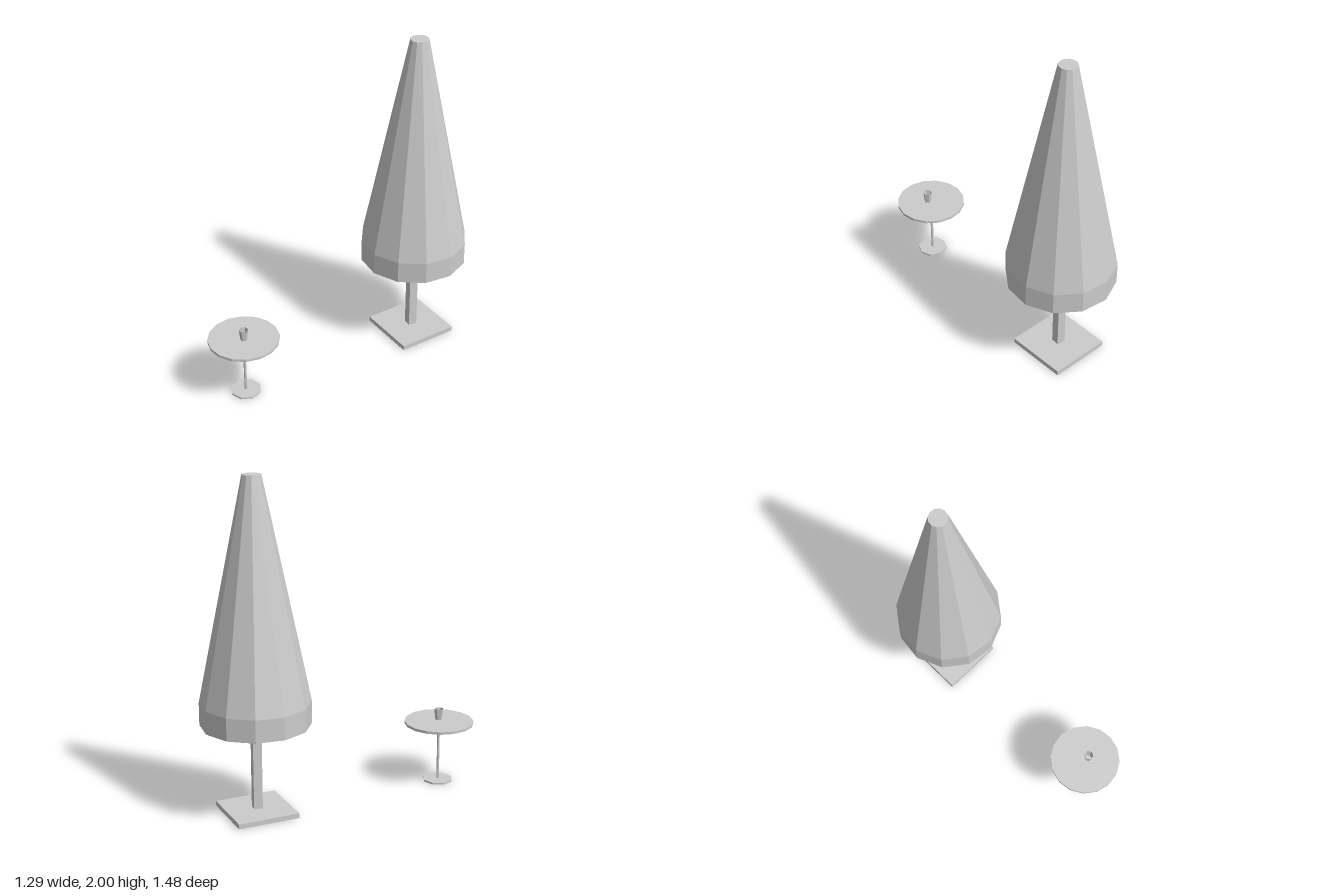
import * as THREE from 'three';

export function createModel() {
  const model = new THREE.Group();
  const solid = new THREE.MeshStandardMaterial({ color: 0xcccccc, flatShading: true });
  const thin = new THREE.MeshStandardMaterial({ color: 0xcccccc, flatShading: true, side: THREE.DoubleSide });

  function add(parent, name, geometry, y, material = solid, turn = 0) {
    const mesh = new THREE.Mesh(geometry, material);
    mesh.name = name;
    mesh.position.y = y;
    mesh.rotation.y = turn;
    parent.add(mesh);
    return mesh;
  }

  // Upright prism standing on height y0
  function prism(parent, name, radius, y0, y1, sides, turn = 0) {
    const geometry = new THREE.CylinderGeometry(radius, radius, y1 - y0, sides);
    return add(parent, name, geometry, (y0 + y1) / 2, solid, turn);
  }

  // Folded parasol
  const parasol = new THREE.Group();
  parasol.name = 'parasol';
  parasol.position.set(0.321, 0, -0.412);
  model.add(parasol);

  add(parasol, 'parasolBase', new THREE.BoxGeometry(0.376, 0.03, 0.376), 0.015, solid, 0.908);
  prism(parasol, 'parasolPole', 0.0375, 0.03, 1.99, 4);

  // Hollow canopy: hanging rim, tapering cloth and flat cap
  const canopyProfile = [[0.325, 0.55], [0.325, 0.685], [0.055, 2], [0, 2]]
    .map(([r, y]) => new THREE.Vector2(r, y));
  add(parasol, 'canopy', new THREE.LatheGeometry(canopyProfile, 12), 0, thin);

  // Round pedestal table
  const table = new THREE.Group();
  table.name = 'table';
  table.position.set(-0.434, 0, 0.526);
  model.add(table);

  prism(table, 'tableFoot', 0.092, 0, 0.011, 8, 0.06);
  prism(table, 'tableStem', 0.008, 0.011, 0.375, 6);
  prism(table, 'tableTop', 0.2125, 0.375, 0.391, 16, 0.06);

  // Open cup on the table
  const cupProfile = [[0, 0], [0.02, 0], [0.028, 0.069]].map(([r, y]) => new THREE.Vector2(r, y));
  const cup = add(table, 'cup', new THREE.LatheGeometry(cupProfile, 6), 0.392, thin);
  cup.position.x = 0.009;
  cup.position.z = 0.018;

  return model;
}
